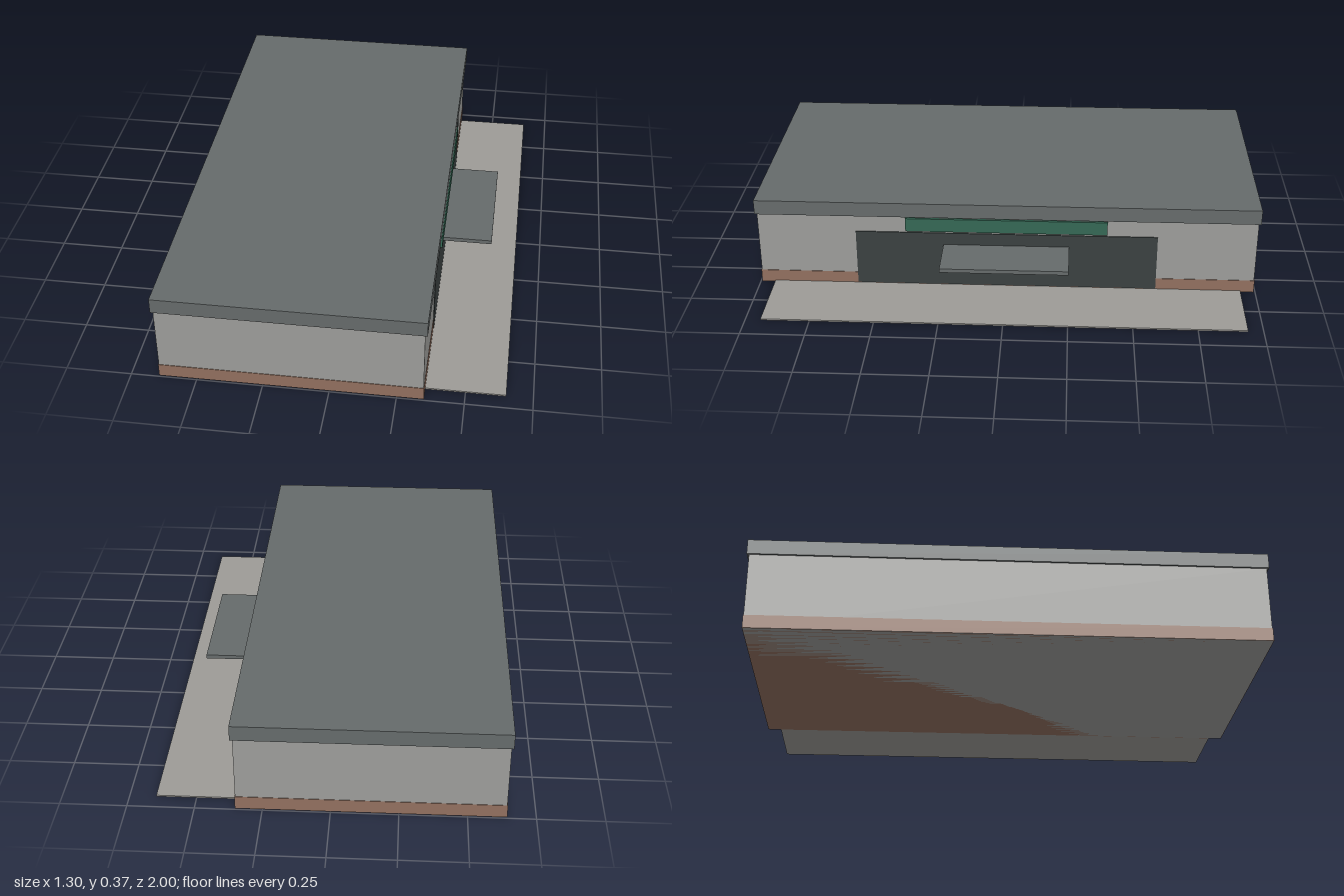
import * as THREE from 'three';

const mat = (name, color) => {
  const m = new THREE.MeshStandardMaterial({ color });
  m.name = name;
  return m;
};

export function createModel() {
  const group = new THREE.Group();
  group.name = 'storefrontBuilding';

  const wall = mat('wallGrey', 0x9d9d9a);
  const brick = mat('brickBrown', 0x92705f);
  const slate = mat('roofSlate', 0x666b6b);
  const glass = mat('darkGlass', 0x3b4141);
  const green = mat('signGreen', 0x356855);
  const paving = mat('pavingGrey', 0x9d9b97);

  // Box given by its x and y ranges and its half-length along z
  const box = (name, material, x0, x1, y0, y1, halfZ) => {
    const mesh = new THREE.Mesh(new THREE.BoxGeometry(x1 - x0, y1 - y0, 2 * halfZ), material);
    mesh.position.set((x0 + x1) / 2, (y0 + y1) / 2, 0);
    mesh.name = name;
    group.add(mesh);
  };

  // Main block and the brick plinth just proud of it, both standing on the ground
  box('walls', wall, -0.642, 0.349, 0, 0.31, 0.992);
  box('brickPlinth', brick, -0.644, 0.351, 0, 0.053, 0.994);
  box('roofSlab', slate, -0.65, 0.358, 0.31, 0.37, 1);

  // Street side: glazing, sign band, canopy and pavement
  box('shopWindow', glass, 0.347, 0.353, 0.008, 0.24, 0.6);
  box('signBand', green, 0.352, 0.362, 0.25, 0.306, 0.4);
  box('entranceCanopy', slate, 0.349, 0.55, 0.173, 0.189, 0.25);
  box('pavement', paving, 0.349, 0.65, 0, 0.006, 0.94);

  return group;
}
